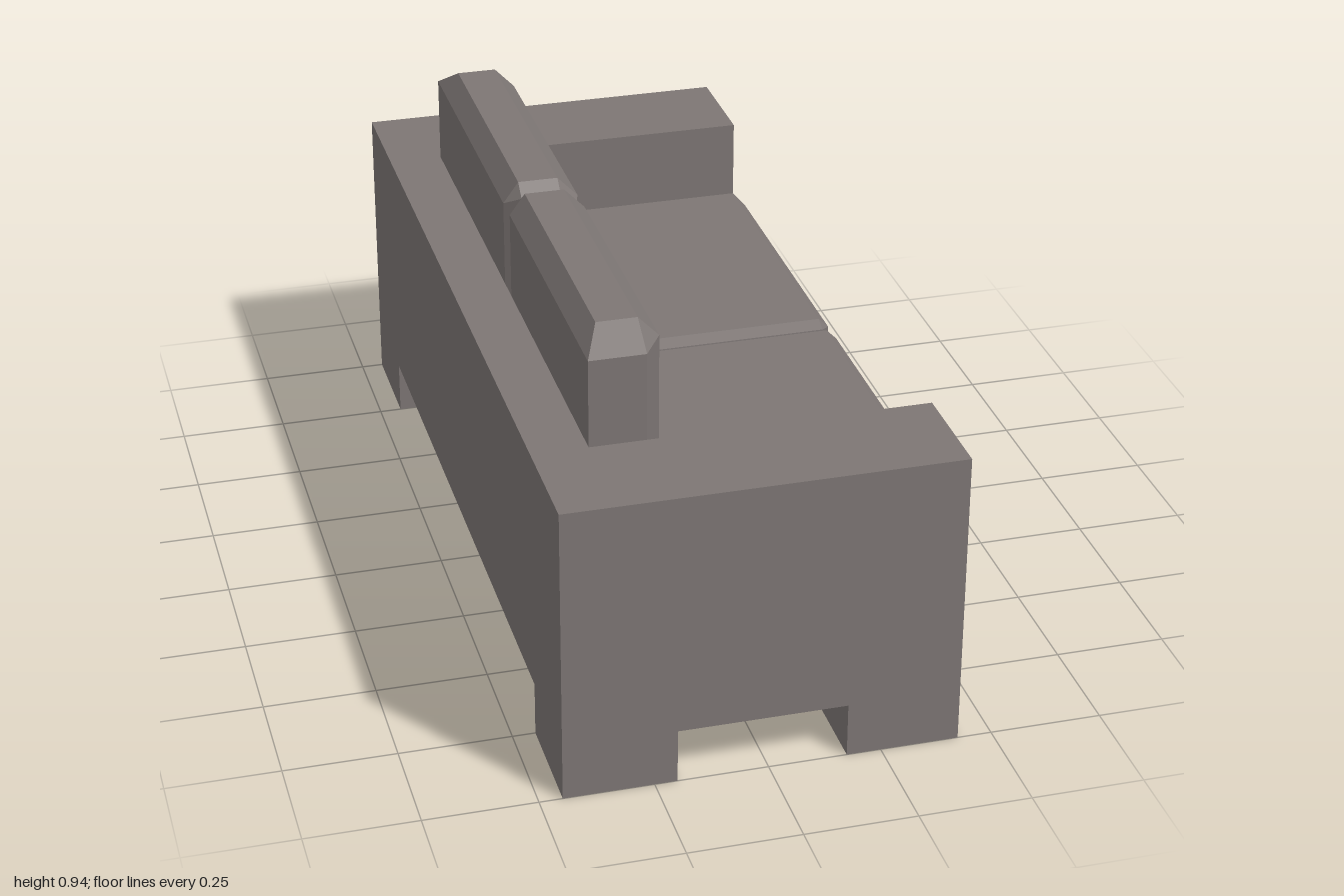
import * as THREE from 'three';
import { ConvexGeometry } from 'three/addons/geometries/ConvexGeometry.js';

const BACK = -0.449, FRONT = 0.424, ARM_TOP = 0.688, INNER = 0.75;

export function createModel() {
  const sofa = new THREE.Group();
  sofa.name = 'sofa';
  const fabric = new THREE.MeshStandardMaterial({ color: 0x7d7674 });
  fabric.name = 'warm grey fabric';

  const add = (name, geometry) => {
    const mesh = new THREE.Mesh(geometry, fabric);
    mesh.name = name;
    sofa.add(mesh);
    return mesh;
  };
  const box = (name, x0, x1, y0, y1, z0, z1) =>
    add(name, new THREE.BoxGeometry(x1 - x0, y1 - y0, z1 - z0))
      .position.set((x0 + x1) / 2, (y0 + y1) / 2, (z0 + z1) / 2);
  // Faceted cushion from its corner points, mirrored across the centre seam
  const cushion = (name, side, corners) =>
    add(name, new ConvexGeometry(corners.map(([x, y, z]) => new THREE.Vector3(x, y, z * side))));

  // Arm panel outline with two square feet
  const armShape = new THREE.Shape([
    [BACK, 0], [-0.2, 0], [-0.2, 0.125], [0.174, 0.125], [0.174, 0],
    [FRONT, 0], [FRONT, ARM_TOP], [BACK, ARM_TOP],
  ].map(([x, y]) => new THREE.Vector2(x, y)));
  const armGeometry = new THREE.ExtrudeGeometry(armShape, { depth: 0.25, bevelEnabled: false });

  // Frame between the arms
  box('seatBase', BACK, FRONT, 0.125, 0.25, -INNER, INNER);
  box('backPanel', BACK, -0.325, 0.25, ARM_TOP, -INNER, INNER);

  // Seat cushion: bevelled front and centre seam
  const seat = [
    [-0.325, 0.25, 0], [-0.325, 0.25, INNER], [-0.325, 0.5, INNER],
    [-0.325, 0.5, 0.03], [-0.325, 0.487, 0],
    [FRONT, 0.25, 0], [FRONT, 0.25, INNER], [FRONT, 0.5, INNER],
    [FRONT, 0.5, 0.03], [FRONT, 0.487, 0],
    [0.448, 0.275, 0.03], [0.448, 0.275, 0.724],
    [0.448, 0.476, 0.724], [0.448, 0.476, 0.03],
  ];

  // Back cushion: bevelled rim, wide chamfer at the outer front corner
  const back = [
    // top face
    [-0.29, 0.937, 0.032], [-0.2, 0.937, 0.032], [-0.2, 0.937, 0.675], [-0.29, 0.937, 0.675],
    // upper rim
    [-0.325, 0.889, 0.032], [-0.154, 0.889, 0.032], [-0.154, 0.889, 0.675],
    [-0.2, 0.889, INNER], [-0.325, 0.889, INNER],
    // centre seam
    [-0.29, 0.91, 0], [-0.2, 0.91, 0], [-0.165, 0.875, 0],
    [-0.29, 0.5, 0], [-0.2, 0.5, 0], [-0.165, 0.55, 0],
    // lower rim
    [-0.154, 0.54, 0.032], [-0.154, 0.54, 0.675], [-0.2, 0.54, INNER],
    [-0.2, 0.5, 0.032], [-0.2, 0.5, 0.675],
    [-0.325, 0.5, 0.032], [-0.325, 0.5, INNER],
  ];

  for (const [label, side] of [['front', 1], ['rear', -1]]) {
    add(label + 'Arm', armGeometry).position.z = side > 0 ? INNER : -1;
    cushion(label + 'SeatCushion', side, seat);
    cushion(label + 'BackCushion', side, back);
  }
  return sofa;
}
